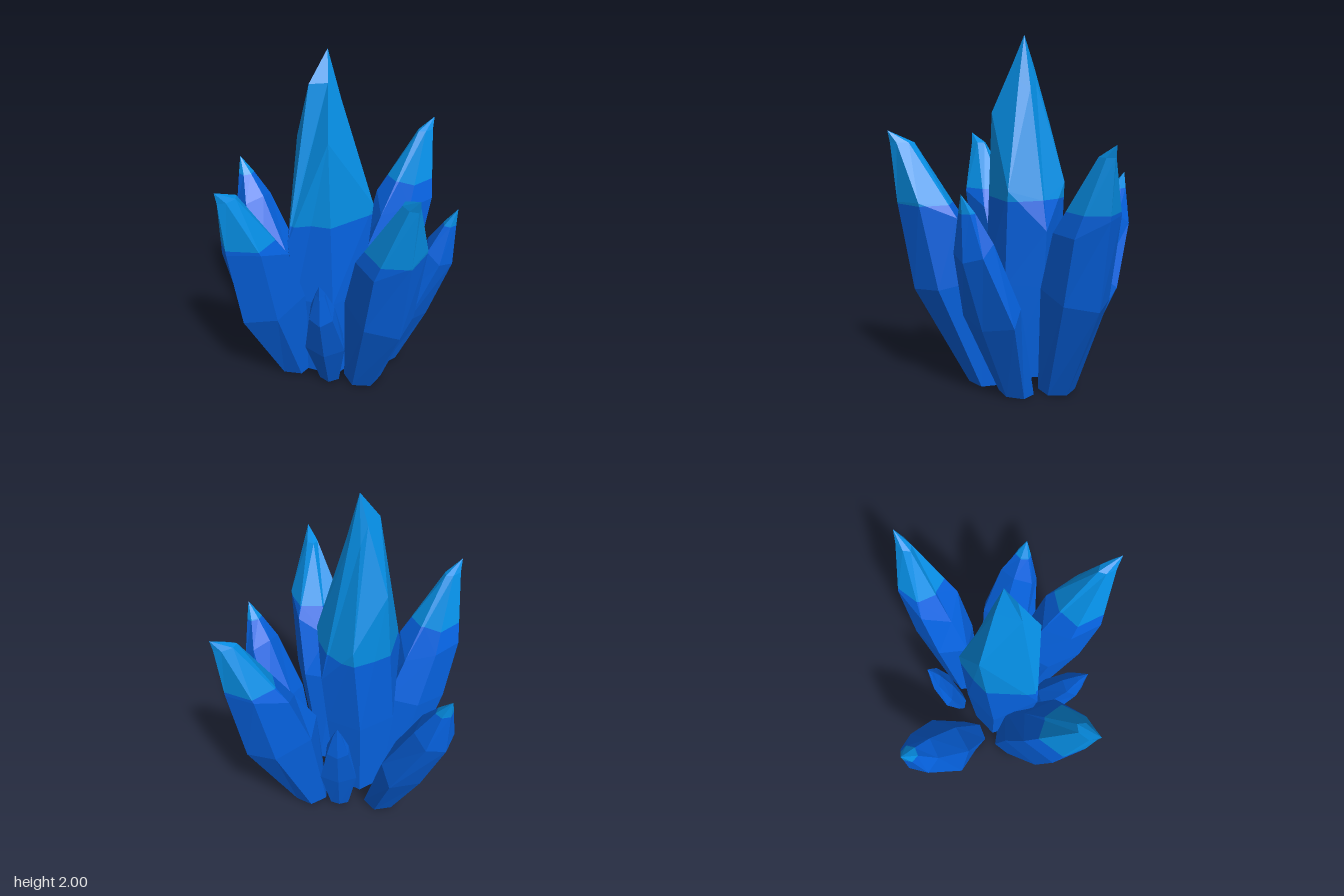
import * as THREE from 'three';

const SIDES = 6;
const SPLIT = 1.07; // height where the pale tips begin

// Ring: u = distance along the lean, y = height, ru / rv = half size along / across the
// lean (each one value, or one per corner starting at the outer side),
// dy = extra height on the outer side, taper = extra width on the outer side.
const tall = {
  tip: 1,
  rings: [
    { u: 0.345, y: 0, ru: 0.135, rv: 0.6 },
    { u: 0.565, y: 0.425, ru: 0.285, rv: 0.95, dy: -0.03 },
    { u: 0.7, y: [0.735, 0.67, 0.67, 0.615, 0.68, 0.74], ru: 0.25, rv: 0.95 },
    { u: 0.905, y: 0.955, ru: 0.08, rv: 0.2 },
  ],
};
const slanted = {
  tip: 1,
  rings: [
    { u: 0.36, y: 0, ru: 0.13, rv: 0.58 },
    { u: 0.64, y: 0.435, ru: 0.14, rv: 1.04, dy: -0.07, taper: 0.2 },
    { u: 0.87, y: 0.755, ru: 0.12, rv: 0.65, dy: -0.055 },
    { u: 0.94, y: 0.92, ru: 0.055, rv: 0.25 },
  ],
};
const upright = {
  tip: 0.07,
  rings: [
    { u: 0.08, y: 0, ru: 0.17, rv: 0.78 },
    { u: 0.09, y: 0.285, ru: 0.24, rv: 0.95 },
    {
      u: 0.1, y: [0.485, 0.74, 0.58, 0.45, 0.565, 0.78],
      ru: [0.275, 0.04, 0.36, 0.28, 0.38, 0.2], rv: [1, 1.05, 0.92, 1, 1, 0.74],
    },
    {
      u: 0.1, y: [0.92, 0.92, 0.87, 0.85, 0.87, 0.92],
      ru: [0.1, -0.04, 0.12, 0.1, 0.14, 0.03], rv: [0.35, 0.33, 0.3, 0.35, 0.3, 0.26],
    },
  ],
};

// Triangles of one open-footed crystal leaning from one ground point towards another
function crystalTriangles(from, to, height, width, profile) {
  const dx = to[0] - from[0], dz = to[1] - from[1];
  const len = Math.hypot(dx, dz);
  const place = (u, y, v) => new THREE.Vector3(
    from[0] + dx * u - (dz / len) * v, y * height, from[1] + dz * u + (dx / len) * v);
  const rings = profile.rings.map(({ u, y, ru, rv, dy = 0, taper = 0 }) =>
    Array.from({ length: SIDES }, (_, k) => {
      const c = Math.cos((k * 2 * Math.PI) / SIDES), s = Math.sin((k * 2 * Math.PI) / SIDES);
      const corner = (value) => (Array.isArray(value) ? value[k] : value);
      return place(u + corner(ru) * c, corner(y) + dy * c, corner(rv) * width * s * (1 + taper * c));
    }));
  const tip = place(profile.tip, 1, 0);
  const top = rings[rings.length - 1];
  const tris = [];
  for (let i = 0; i < SIDES; i++) {
    const j = (i + 1) % SIDES;
    for (let r = 0; r < rings.length - 1; r++) {
      const lo = rings[r], up = rings[r + 1];
      tris.push([lo[i], up[i], lo[j]], [up[i], up[j], lo[j]]);
    }
    tris.push([top[i], tip, top[j]]);
  }
  return tris;
}

// Keep the part of each triangle above (sign 1) or below (sign -1) the split height
function clipped(tris, sign) {
  const out = [];
  for (const tri of tris) {
    const poly = [];
    tri.forEach((a, i) => {
      const b = tri[(i + 1) % 3];
      const da = sign * (a.y - SPLIT), db = sign * (b.y - SPLIT);
      if (da >= 0) poly.push(a);
      if (da * db < 0) poly.push(a.clone().lerp(b, da / (da - db)));
    });
    for (let i = 1; i < poly.length - 1; i++) out.push(poly[0], poly[i], poly[i + 1]);
  }
  if (!out.length) return null;
  const geometry = new THREE.BufferGeometry().setFromPoints(out);
  geometry.computeVertexNormals(); // unshared corners give flat facets
  return geometry;
}

export function createModel() {
  // double sided because the crystals are open at the foot
  const deepBlue = new THREE.MeshStandardMaterial({ color: 0x0562e0, side: THREE.DoubleSide });
  deepBlue.name = 'deepBlue';
  const skyBlue = new THREE.MeshStandardMaterial({ color: 0x058fe6, side: THREE.DoubleSide });
  skyBlue.name = 'skyBlue';

  const model = new THREE.Group();
  model.name = 'crystalCluster';

  // name, ground point, point leaned towards, height, half width, profile
  const crystals = [
    ['centreCrystal', [0, 0], [0, 1], 2, 0.23, upright],
    ['leftCrystal', [0, -0.04], [0.785, 0.19], 1.47, 0.19, tall],
    ['frontCrystal', [-0.14, 0], [-0.01, 0.8], 1.42, 0.185, tall],
    ['backCrystal', [-0.01, 0], [0, -0.81], 1.42, 0.175, tall],
    ['rightCrystal', [0, 0.04], [-0.79, 0.13], 1.17, 0.19, slanted],
    ['backLeftCrystal', [0, -0.13], [0.6, -0.34], 1.17, 0.19, slanted],
    ['smallFrontCrystal', [0.01, 0.035], [0.355, 0.45], 0.9, 0.115, slanted],
    ['smallBackCrystal', [-0.08, -0.105], [-0.305, -0.26], 0.79, 0.11, slanted],
  ];
  for (const [name, ...spec] of crystals) {
    const crystal = new THREE.Group();
    crystal.name = name;
    const tris = crystalTriangles(...spec);
    // body below the split, pale tip above it
    for (const [part, sign, material] of [['Body', -1, deepBlue], ['Tip', 1, skyBlue]]) {
      const geometry = clipped(tris, sign);
      if (!geometry) continue;
      const mesh = new THREE.Mesh(geometry, material);
      mesh.name = name + part;
      crystal.add(mesh);
    }
    model.add(crystal);
  }
  return model;
}
